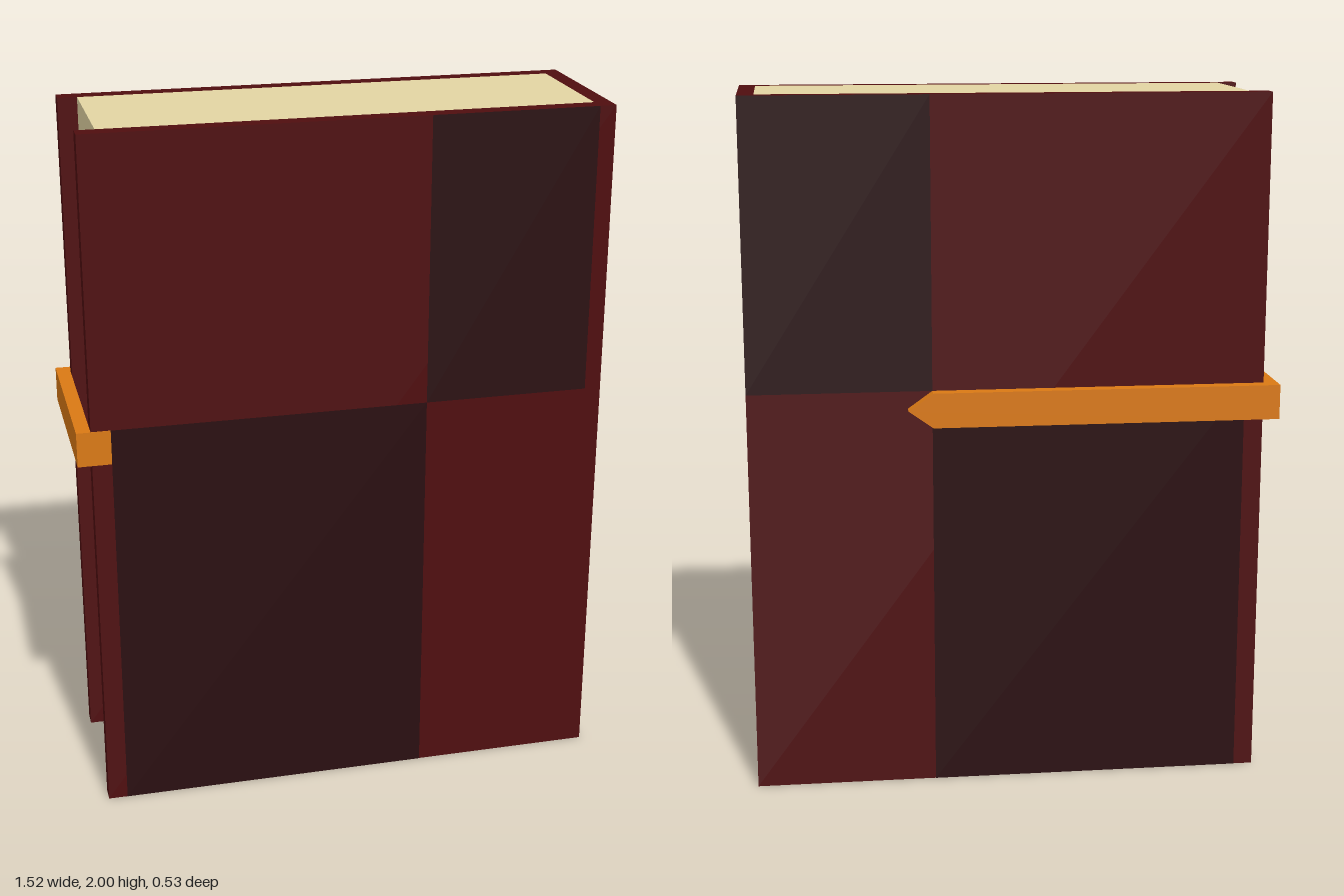
import * as THREE from 'three';

export function createModel() {
  const book = new THREE.Group();
  book.name = 'book';

  const mat = (color) => new THREE.MeshStandardMaterial({ color });
  const red = mat(0x4f0d0f), dark = mat(0x2a0e10), amber = mat(0xda7914), paper = mat(0xe2d4a3);

  // Box given by its lower and upper corners
  const box = (name, material, [x0, y0, z0], [x1, y1, z1]) => {
    const mesh = new THREE.Mesh(new THREE.BoxGeometry(x1 - x0, y1 - y0, z1 - z0), material);
    mesh.position.set((x0 + x1) / 2, (y0 + y1) / 2, (z0 + z1) / 2);
    mesh.name = name;
    book.add(mesh);
    return mesh;
  };

  // Flat inlay lying just proud of a face, turned about y to face outwards
  const inlay = (name, width, y0, y1, x, z, turn) => {
    const mesh = new THREE.Mesh(new THREE.PlaneGeometry(width, y1 - y0), dark);
    mesh.position.set(x, (y0 + y1) / 2, z);
    mesh.rotation.y = turn;
    mesh.name = name;
    book.add(mesh);
  };

  const LEFT = 0.757, EDGE = -0.72, FRONT = 0.262, BACK = -0.227;
  const T = 0.047, SPLIT_X = 0.235, SPLIT_Y = 1.175, PAGE = -0.665, GAP = 0.001;

  // Covers, spine and page block
  box('frontCover', red, [EDGE, 0, FRONT - T], [LEFT, 2, FRONT]);
  box('backCover', red, [EDGE, 0, BACK], [LEFT, 2, BACK + T]);
  box('spine', red, [LEFT - T, 0, BACK + T], [LEFT, 2, FRONT - T]);
  box('pages', paper, [PAGE, 0, BACK + T], [LEFT - T, 2, FRONT - T]);

  // Dark checker panels on both covers; the back upper one runs to the spine edge
  for (const [side, z, turn, end] of [
    ['front', FRONT + GAP, 0, LEFT - T],
    ['back', BACK - GAP, Math.PI, LEFT],
  ]) {
    inlay(side + 'LowerPanel', SPLIT_X - PAGE, 0, SPLIT_Y, (PAGE + SPLIT_X) / 2, z, turn);
    inlay(side + 'UpperPanel', end - SPLIT_X, SPLIT_Y, 2, (SPLIT_X + end) / 2, z, turn);
  }

  // Two dark bands down the spine
  for (const z of [0.15, -0.11]) inlay('spineBand', 0.13, 0, 2, LEFT + GAP, z, Math.PI / 2);

  // Clasp strap: front tab, piece across the page edge, pointed tongue on the back
  const Y0 = 1.075, Y1 = 1.175, OUT = -0.76, BEHIND = -0.265;
  box('claspTab', amber, [EDGE, Y0, FRONT - T], [PAGE, Y1, FRONT + 2 * GAP]);
  box('claspSide', amber, [OUT, Y0, BACK], [EDGE, Y1, FRONT + 2 * GAP]);
  const outline = new THREE.Shape([
    [OUT, Y0], [SPLIT_X, Y0], [0.305, (Y0 + Y1) / 2], [SPLIT_X, Y1], [OUT, Y1],
  ].map(([x, y]) => new THREE.Vector2(x, y)));
  const tongue = new THREE.Mesh(
    new THREE.ExtrudeGeometry(outline, { depth: BACK - BEHIND, bevelEnabled: false }), amber);
  tongue.position.z = BEHIND;
  tongue.name = 'claspTongue';
  book.add(tongue);

  return book;
}
